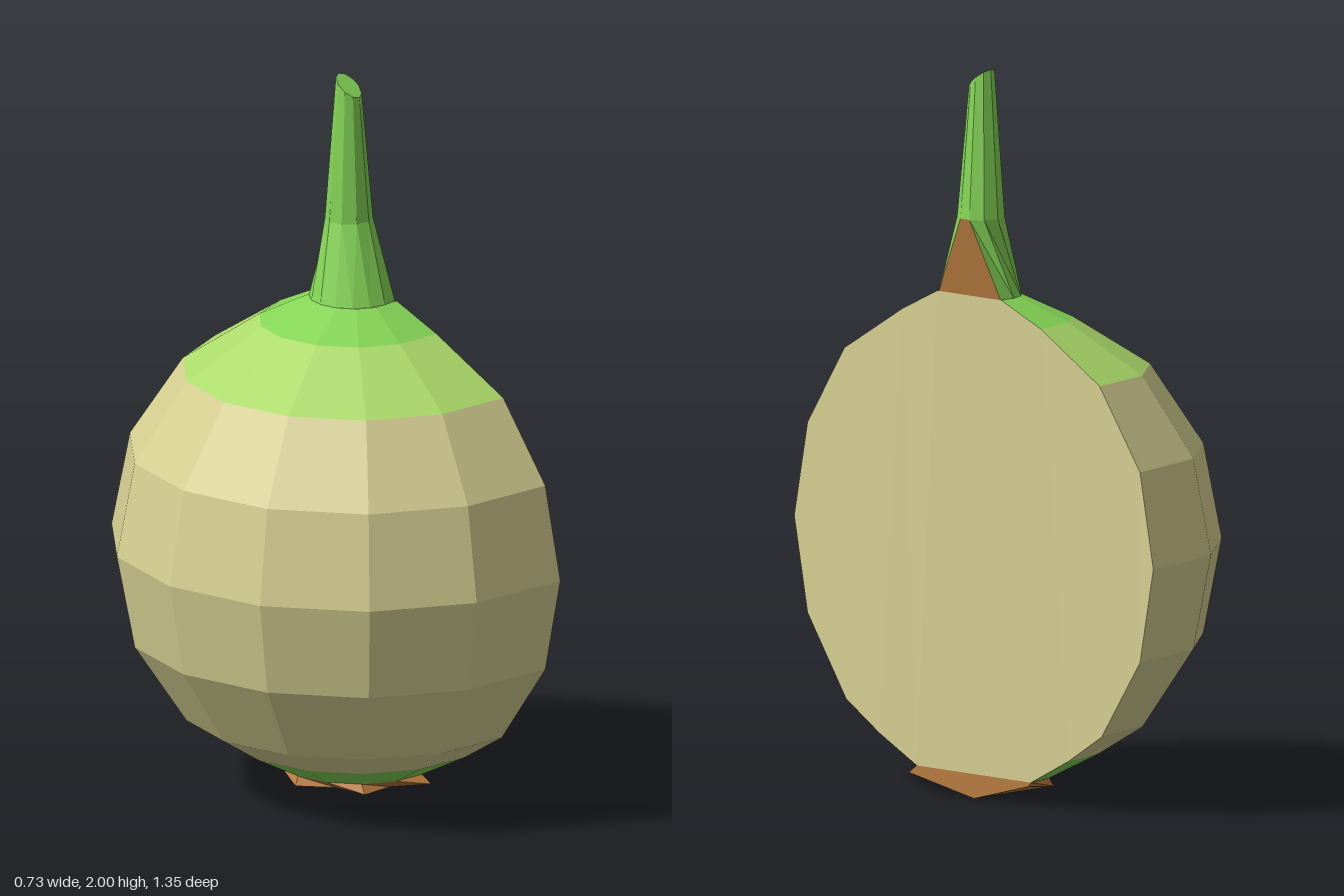
import * as THREE from 'three';

const CREAM = 0xd6d092, LIME = 0xacda6a, GREEN = 0x84d455, BROWN = 0xb87b40;
const CUT_X = 0.29;

// Faceted skin over rows of points, listed from bottom to top
function loft(name, color, rows) {
  const pos = [];
  for (let r = 0; r < rows.length - 1; r++) {
    const a = rows[r], b = rows[r + 1];
    for (let i = 0; i < a.length - 1; i++) {
      for (const p of [a[i], b[i], b[i + 1], a[i], b[i + 1], a[i + 1]]) pos.push(...p);
    }
  }
  const geo = new THREE.BufferGeometry();
  geo.setAttribute('position', new THREE.Float32BufferAttribute(pos, 3));
  geo.computeVertexNormals();
  const mat = new THREE.MeshStandardMaterial({ color, flatShading: true, side: THREE.DoubleSide });
  const mesh = new THREE.Mesh(geo, mat);
  mesh.name = name;
  return mesh;
}

// Arc of count + 1 points around the -x side, sweeping from +z to -z
function arc(cx, y, cz, radius, halfAngle, count, tilt = 0) {
  return Array.from({ length: count + 1 }, (_, i) => {
    const t = THREE.MathUtils.degToRad(halfAngle * (2 * i / count - 1));
    const dz = -radius * Math.sin(t);
    return [cx - radius * Math.cos(t), y - tilt * dz, cz + dz];
  });
}

const first = (row) => row[0];
const last = (row) => row[row.length - 1];

export function createModel() {
  const group = new THREE.Group();

  // Half bulb: height, radius, x of the cut edge
  const profile = [
    [0.067, 0.215, 0.29], [0.14, 0.355, 0.29], [0.22, 0.48, 0.29],
    [0.44, 0.625, 0.29], [0.7, 0.675, 0.29], [0.96, 0.625, 0.29],
    [1.18, 0.48, 0.297], [1.315, 0.26, 0.31], [1.38, 0.12, 0.32],
  ];
  const rings = profile.map(([y, r, edgeX], i) => {
    const row = arc(CUT_X, y, i > 6 ? -0.012 : 0, r, 90, 7);
    row[0][0] = last(row)[0] = edgeX;
    return row;
  });
  group.add(loft('bulbBase', GREEN, rings.slice(0, 2)));
  group.add(loft('bulb', CREAM, rings.slice(1, 7)));
  group.add(loft('bulbShoulder', LIME, rings.slice(6, 8)));
  group.add(loft('bulbCrown', GREEN, rings.slice(7, 9)));

  // Cut face in upright strips between the lower and upper rims
  const rim = (order) => [
    ...order.map((i) => last(rings[i])),
    ...order.slice().reverse().map((i) => first(rings[i])),
  ];
  group.add(loft('cutFace', CREAM, [rim([4, 3, 2, 1, 0]), rim([4, 5, 6, 7, 8])]));

  // Jagged root disc with a shallow point underneath
  const star = arc(CUT_X, 0.045, 0.01, 0.235, 90, 7).map(([x, y, z], i) => {
    const k = i % 2 ? 0.72 : 1;
    return [CUT_X + (x - CUT_X) * k, i % 2 ? 0.04 : y, z * k];
  });
  star[7] = [CUT_X, 0.055, -0.205];
  const tip = star.map(() => [CUT_X, 0, 0]);
  const rootRows = [tip, star, rings[0]];
  group.add(loft('root', BROWN, rootRows));
  group.add(loft('rootCut', BROWN, rootRows.map((r) => [last(r), first(r)])));

  // Stem: open at the cut below, a full tube above, slanted end
  const base = arc(0.29, 1.38, -0.015, 0.12, 105, 9);
  const mid = arc(0.298, 1.595, -0.035, 0.065, 165, 9);
  const top = arc(0.29, 1.972, -0.03, 0.035, 165, 9, 0.8);
  const closed = (row) => [...row, row[0]];
  group.add(loft('stemBase', GREEN, [base, mid]));
  group.add(loft('stemCut', BROWN, [base, mid].map((r) => [last(r), first(r)])));
  group.add(loft('stem', GREEN, [closed(mid), closed(top)]));
  group.add(loft('stemEnd', GREEN, [closed(top), closed(top).map(() => [0.29, 1.972, -0.03])]));

  return group;
}
